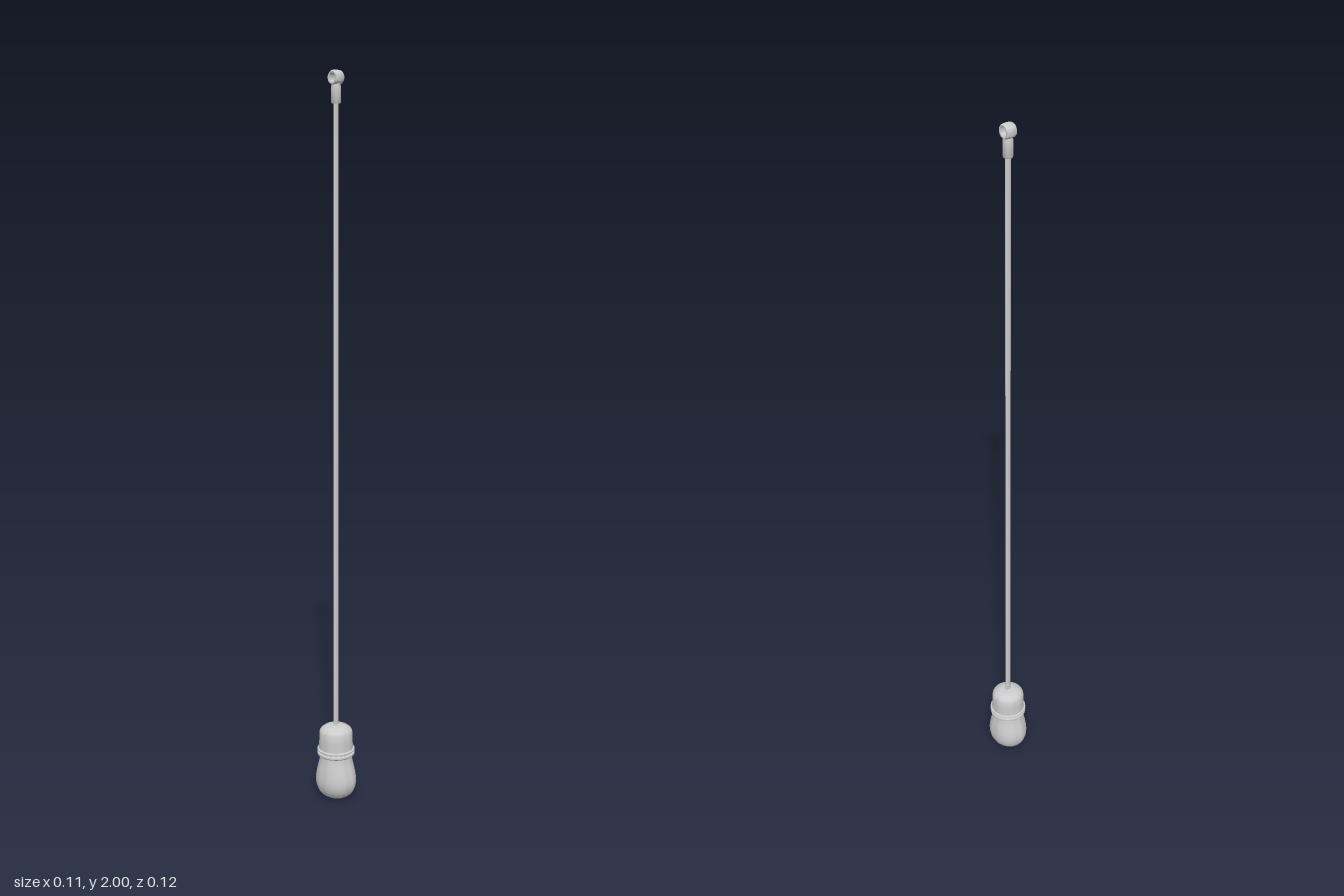
import * as THREE from 'three';
import { toCreasedNormals } from 'three/addons/utils/BufferGeometryUtils.js';

const material = new THREE.MeshStandardMaterial({ color: 0xcccccc });

function add(group, name, geometry) {
  const mesh = new THREE.Mesh(geometry, material);
  mesh.name = name;
  group.add(mesh);
  return mesh;
}

// Lathe from [radius, y] pairs, smooth except at sharp edges
function lathe(points, segments = 40) {
  return new THREE.LatheGeometry(points.map(([r, y]) => new THREE.Vector2(r, y)), segments);
}
const crease = (geometry) => toCreasedNormals(geometry, 0.6);

export function createModel() {
  const group = new THREE.Group();

  // Rounded grip, becoming oval (deeper in z) towards its lower end
  const grip = lathe([
    [0, 0], [0.014, 0.001], [0.027, 0.005], [0.038, 0.012], [0.045, 0.02], [0.05, 0.03],
    [0.053, 0.042], [0.054, 0.055], [0.053, 0.07], [0.051, 0.086],
    [0.048, 0.102], [0.045, 0.118], [0.044, 0.132], [0, 0.132],
  ]);
  const p = grip.attributes.position;
  for (let i = 0; i < p.count; i++) {
    const t = 1 - THREE.MathUtils.smoothstep(p.getY(i), 0.05, 0.13);
    p.setZ(i, p.getZ(i) * (1 + 0.13 * t));
  }
  add(group, 'grip', crease(grip));

  // Two stacked bands of the collar with a narrow groove between them
  add(group, 'collar', crease(lathe([
    [0, 0.127], [0.045, 0.127], [0.05, 0.129], [0.0525, 0.132], [0.0525, 0.137],
    [0.049, 0.139], [0.049, 0.141], [0.0525, 0.143], [0.0525, 0.147], [0.049, 0.149], [0, 0.149],
  ])));

  // Domed cap above the collar
  add(group, 'cap', crease(lathe([
    [0, 0.146], [0.048, 0.146], [0.047, 0.175], [0.046, 0.198], [0.043, 0.204],
    [0.034, 0.211], [0.022, 0.216], [0.01, 0.218], [0, 0.218],
  ])));

  // Long flat rod
  const rod = new THREE.CylinderGeometry(0.008, 0.008, 1.72, 16);
  rod.scale(1, 1, 0.6);
  add(group, 'rod', rod).position.y = 1.07;

  // Sleeve joining the rod to the eye
  add(group, 'sleeve', crease(lathe([
    [0, 1.915], [0.011, 1.915], [0.0125, 1.918], [0.0125, 1.958], [0.011, 1.966], [0, 1.966],
  ], 20)));

  // Broad eye with its hole running along x
  const eye = lathe([
    [0.012, -0.014], [0.016, -0.0145], [0.0185, -0.011], [0.0195, 0],
    [0.0185, 0.011], [0.016, 0.0145], [0.012, 0.014], [0.012, -0.014],
  ], 28);
  eye.rotateZ(Math.PI / 2);
  add(group, 'eye', crease(eye)).position.y = 1.9805;

  return group;
}
